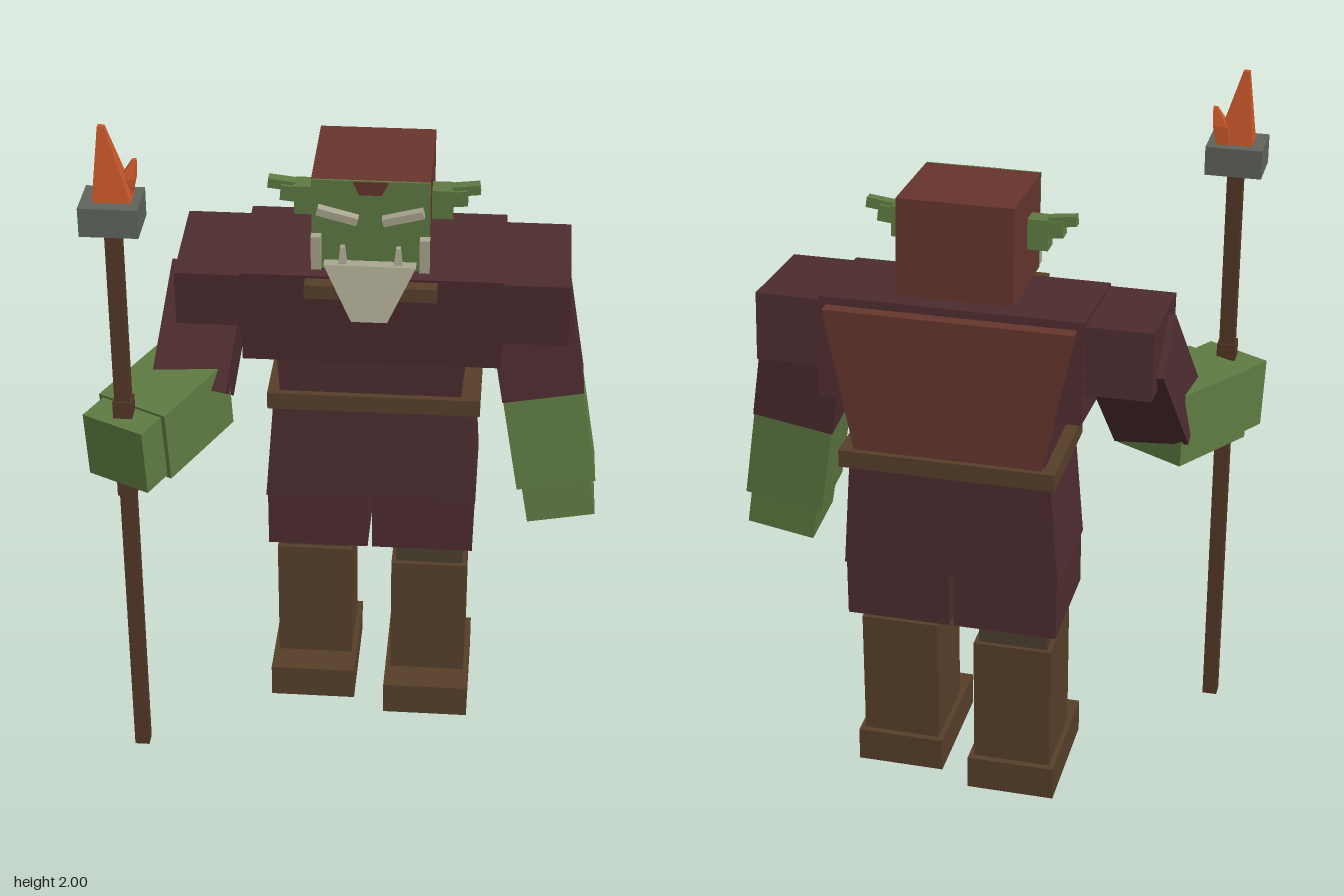
import * as THREE from 'three';

const mat = (name, color) => {
  const m = new THREE.MeshStandardMaterial({ color });
  m.name = name;
  return m;
};

export function createModel() {
  const maroon = mat('maroon cloth', 0x4d2c2f);
  const red = mat('red leather', 0x66352d);
  const green = mat('green skin', 0x5f7b42);
  const cream = mat('bone', 0xaaa690);
  const brown = mat('brown leather', 0x573f2a);
  const wood = mat('staff wood', 0x533726);
  const grey = mat('grey iron', 0x5f645c);
  const orange = mat('flame orange', 0xc9582a);
  const olive = mat('dark stocking', 0x4b402f);
  const root = new THREE.Group();
  root.name = 'staffBearer';

  // Box whose bottom and top rectangles [x0, x1, z0, z1] may differ
  const taper = (name, m, y0, b, y1, t, parent = root) => {
    const g = new THREE.BoxGeometry(1, 1, 1);
    const p = g.attributes.position;
    for (let i = 0; i < p.count; i++) {
      const up = p.getY(i) > 0, r = up ? t : b;
      p.setXYZ(i, p.getX(i) < 0 ? r[0] : r[1], up ? y1 : y0, p.getZ(i) < 0 ? r[2] : r[3]);
    }
    g.computeVertexNormals();
    const mesh = new THREE.Mesh(g, m);
    mesh.name = name;
    parent.add(mesh);
    return mesh;
  };
  const box = (name, m, x0, x1, y0, y1, z0, z1, parent) =>
    taper(name, m, y0, [x0, x1, z0, z1], y1, [x0, x1, z0, z1], parent);

  // Centred box with rotation
  const block = (name, m, size, pos, rot = [0, 0, 0], parent = root) => {
    const mesh = new THREE.Mesh(new THREE.BoxGeometry(...size), m);
    mesh.name = name;
    mesh.position.set(...pos);
    mesh.rotation.set(...rot);
    parent.add(mesh);
    return mesh;
  };

  // Box running between two points, its width kept along a given direction
  const limb = (name, m, from, to, w, d, side = [1, 0, 0]) => {
    const a = new THREE.Vector3(...from), c = new THREE.Vector3(...to);
    const y = a.clone().sub(c), len = y.length();
    y.normalize();
    const x = new THREE.Vector3(...side);
    x.addScaledVector(y, -x.dot(y)).normalize();
    const z = new THREE.Vector3().crossVectors(x, y);
    const mesh = block(name, m, [w, len, d], a.add(c).multiplyScalar(0.5).toArray());
    mesh.quaternion.setFromRotationMatrix(new THREE.Matrix4().makeBasis(x, y, z));
  };

  // Legs, the right one standing slightly further back
  for (const [s, cx, dz] of [['left', 0.23, 0], ['right', -0.112, -0.06]]) {
    box(s + 'Boot', brown, cx - 0.125, cx + 0.125, 0, 0.1, -0.297 + dz, 0.06 + dz);
    box(s + 'BootShaft', brown, cx - 0.11, cx + 0.11, 0.1, 0.48, -0.278 + dz, -0.035 + dz);
    box(s + 'Stocking', olive, cx - 0.098, cx + 0.098, 0.48, 0.56, -0.265 + dz, -0.05 + dz);
  }

  // Tunic skirt with a slit, and belt
  box('leftSkirt', maroon, 0.063, 0.355, 0.54, 0.71, -0.355, -0.03);
  box('rightSkirt', maroon, -0.24, 0.05, 0.54, 0.71, -0.355, -0.03);
  taper('tunicHips', maroon, 0.705, [-0.245, 0.36, -0.357, -0.03], 1.02, [-0.22, 0.34, -0.35, -0.035]);
  box('belt', brown, -0.235, 0.365, 1.01, 1.06, -0.368, -0.015);

  // Torso and cape
  taper('waist', maroon, 1.05, [-0.2, 0.31, -0.335, -0.035], 1.22, [-0.21, 0.325, -0.335, -0.03]);
  block('chest', maroon, [0.72, 0.285, 0.342], [0.06, 1.333, -0.165], [0.1, 0, 0]);
  box('collar', brown, -0.12, 0.24, 1.41, 1.45, -0.04, 0.06);
  taper('cape', red, 1.07, [-0.2, 0.32, -0.37, -0.338], 1.47, [-0.28, 0.4, -0.358, -0.322]);

  // Shoulders
  for (const s of [1, -1])
    block(s > 0 ? 'leftShoulder' : 'rightShoulder', maroon,
      [0.19, 0.19, 0.325], [0.06 + s * 0.445, 1.368, -0.153], [0.08, 0, 0]);

  // Left arm, hanging
  limb('leftSleeve', maroon, [0.485, 1.37, -0.165], [0.54, 1.06, -0.13], 0.23, 0.205);
  limb('leftForearm', green, [0.54, 1.06, -0.13], [0.588, 0.79, -0.1], 0.225, 0.2);
  limb('leftHand', green, [0.588, 0.79, -0.1], [0.607, 0.685, -0.09], 0.195, 0.19);

  // Right arm, reaching forward to the staff
  const across = [0.885, 0, 0.46];
  limb('rightSleeve', maroon, [-0.395, 1.37, -0.17], [-0.44, 1.085, 0.015], 0.21, 0.2);
  limb('rightForearm', green, [-0.43, 1.083, -0.03], [-0.57, 1.057, 0.235], 0.22, 0.21, across);
  limb('rightHand', green, [-0.57, 1.057, 0.235], [-0.612, 1.05, 0.317], 0.195, 0.195, across);

  // Staff with grips, iron cup and flame
  box('staff', wood, -0.611, -0.569, 0.02, 1.73, 0.249, 0.291);
  for (const y of [0.9, 1.15]) box('staffGrip', wood, -0.616, -0.564, y, y + 0.05, 0.244, 0.296);
  box('staffCup', grey, -0.667, -0.513, 1.72, 1.8, 0.205, 0.34);
  taper('flame', orange, 1.8, [-0.635, -0.535, 0.235, 0.303], 2, [-0.615, -0.598, 0.262, 0.278]);
  taper('smallFlame', orange, 1.8, [-0.575, -0.538, 0.23, 0.268], 1.85, [-0.566, -0.527, 0.23, 0.268]);
  taper('smallFlameTip', orange, 1.85, [-0.566, -0.527, 0.23, 0.268], 1.9, [-0.535, -0.524, 0.243, 0.255]);

  // Head, tilted slightly forward
  const head = new THREE.Group();
  head.name = 'head';
  head.position.set(0.058, 1.627, -0.127);
  head.rotation.x = 0.05;
  root.add(head);
  block('hood', red, [0.317, 0.27, 0.3], [0, 0, -0.002], [0, 0, 0], head);
  block('face', green, [0.317, 0.27, 0.006], [0, 0, 0.151], [0, 0, 0], head);
  taper('hairPeak', red, 0.095, [-0.03, 0.03, 0.15, 0.158], 0.134, [-0.048, 0.048, 0.15, 0.158], head);
  for (const s of [1, -1]) {
    block('brow', cream, [0.112, 0.022, 0.03], [s * 0.088, 0.038, 0.165], [0, 0, s * 0.26], head);
    block('sideburn', cream, [0.027, 0.1, 0.025], [s * 0.146, -0.077, 0.165], [0, 0, 0], head);
    taper('tusk', cream, -0.115, [s * 0.075 - 0.012, s * 0.075 + 0.012, 0.15, 0.18],
      -0.06, [s * 0.075 - 0.006, s * 0.075 + 0.006, 0.152, 0.17], head);
    // Stepped pointed ear
    block('earBase', green, [0.06, 0.085, 0.055], [s * 0.185, 0.014, 0.025], [0, 0, 0], head);
    block('earMiddle', green, [0.05, 0.045, 0.045], [s * 0.228, 0.03, 0.025], [0, 0, s * 0.1], head);
    block('earTip', green, [0.075, 0.028, 0.03], [s * 0.25, 0.052, 0.025], [0, 0, s * 0.12], head);
  }
  taper('beard', cream, 1.36, [0.01, 0.108, 0.068, 0.09], 1.512, [-0.067, 0.182, 0.022, 0.055]);
  return root;
}
